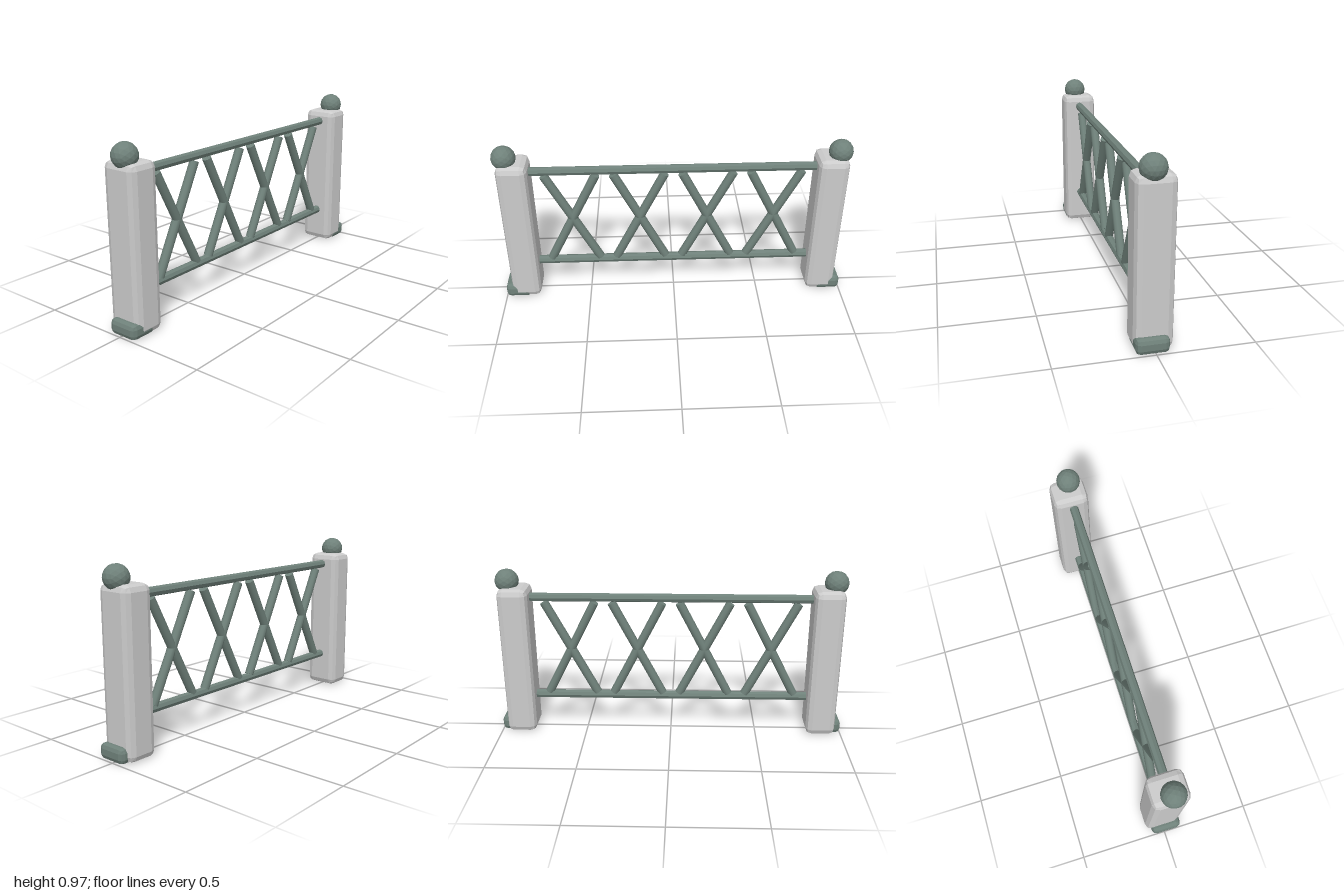
import * as THREE from 'three';
import { RoundedBoxGeometry } from 'three/addons/geometries/RoundedBoxGeometry.js';

const stone = new THREE.MeshStandardMaterial({ color: 0xcccccc, flatShading: true });
const iron = new THREE.MeshStandardMaterial({ color: 0x6f817a, flatShading: true });
const ironSmooth = new THREE.MeshStandardMaterial({ color: 0x6f817a });

const RAIL_Z = 0.005;
const BAR_RADIUS = 0.025;

function addMesh(parent, name, geometry, material, x, y, z) {
  const mesh = new THREE.Mesh(geometry, material);
  mesh.name = name;
  mesh.position.set(x, y, z);
  parent.add(mesh);
  return mesh;
}

// Round bar between two points in the plane of the fence
function addBar(parent, name, x1, y1, x2, y2, sides, material) {
  const length = Math.hypot(x2 - x1, y2 - y1);
  const bar = addMesh(parent, name, new THREE.CylinderGeometry(BAR_RADIUS, BAR_RADIUS, length, sides),
    material, (x1 + x2) / 2, (y1 + y2) / 2, RAIL_Z);
  bar.rotation.z = Math.atan2(y2 - y1, x2 - x1) - Math.PI / 2;
}

export function createModel() {
  const model = new THREE.Group();
  model.name = 'fence';

  // Posts, each with a ball on top and a small block at the outer foot
  for (const side of [-1, 1]) {
    const post = new THREE.Group();
    post.name = side > 0 ? 'leftPost' : 'rightPost';
    addMesh(post, 'pillar', new RoundedBoxGeometry(0.17, 0.873, 0.2, 1, 0.035), stone, side * 0.88, 0.4385, 0);
    addMesh(post, 'ball', new THREE.IcosahedronGeometry(0.067, 2), iron, side * 0.92, 0.903, 0.012);
    addMesh(post, 'footBlock', new RoundedBoxGeometry(0.15, 0.083, 0.17, 1, 0.025), iron, side * 0.925, 0.0435, 0.014);
    model.add(post);
  }

  // Top and bottom rails
  addBar(model, 'topRail', -0.805, 0.81, 0.805, 0.81, 8, iron);
  addBar(model, 'bottomRail', -0.805, 0.21, 0.805, 0.21, 8, iron);

  // Four crossed pairs of braces
  for (const x of [-0.575, -0.192, 0.192, 0.575]) {
    const cross = new THREE.Group();
    cross.name = 'crossBrace';
    for (const lean of [-1, 1]) {
      addBar(cross, 'brace', x - lean * 0.143, 0.225, x + lean * 0.143, 0.78, 10, ironSmooth);
    }
    model.add(cross);
  }

  return model;
}
